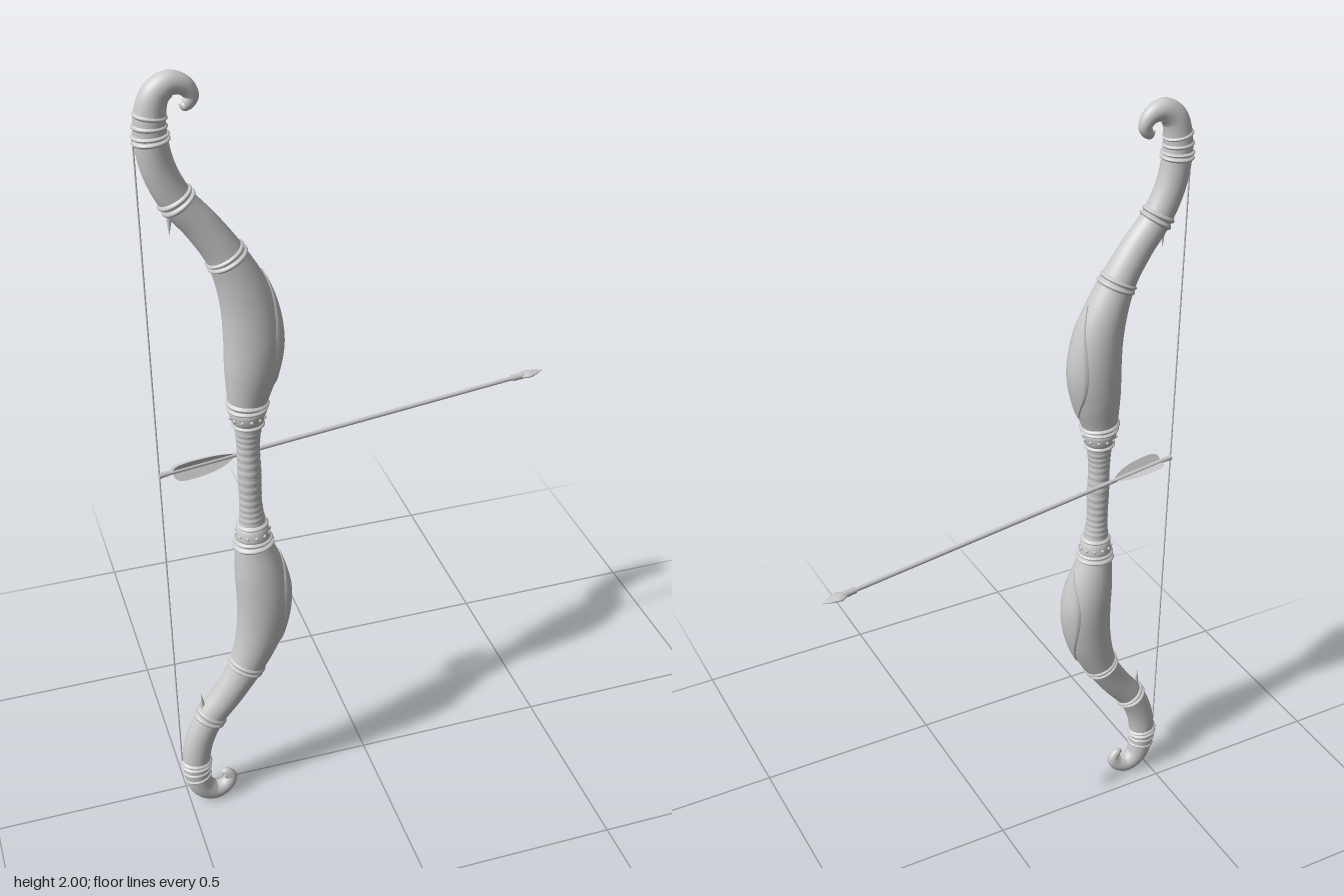
import * as THREE from 'three';

const grey = new THREE.MeshStandardMaterial({ color: 0xcccccc });
const thin = new THREE.MeshStandardMaterial({ color: 0xcccccc, side: THREE.DoubleSide });
const BOW_Z = 0.06;

// Upper limb from grip centre to hook tip: x, y, radius in the bow plane, radius in z
const stations = [
  [-0.303, 1.0, 0.028, 0.027], [-0.303, 1.08, 0.027, 0.026], [-0.301, 1.14, 0.033, 0.031],
  [-0.3, 1.2, 0.046, 0.041], [-0.288, 1.28, 0.062, 0.053], [-0.28, 1.36, 0.068, 0.056],
  [-0.292, 1.46, 0.061, 0.051], [-0.333, 1.57, 0.045, 0.042], [-0.383, 1.65, 0.04, 0.036],
  [-0.434, 1.717, 0.038, 0.034], [-0.467, 1.79, 0.037, 0.033], [-0.479, 1.86, 0.036, 0.033],
  [-0.477, 1.91, 0.034, 0.031], [-0.464, 1.95, 0.031, 0.028], [-0.434, 1.971, 0.027, 0.024],
  [-0.403, 1.962, 0.021, 0.019], [-0.389, 1.938, 0.016, 0.014], [-0.404, 1.92, 0.012, 0.01],
  [-0.416, 1.925, 0.001, 0.001],
];
const LAST = stations.length - 1;
const path = new THREE.CatmullRomCurve3(stations.map(([x, y]) => new THREE.Vector3(x, y, 0)));
const radii = new THREE.CatmullRomCurve3(
  stations.map(([, , a, b]) => new THREE.Vector3(a, b, 0)), false, 'catmullrom', 0.5);

// Point on the limb surface at station u and angle a (0 faces +x), raised by lift
function limbPoint(u, a, lift = 0) {
  const c = path.getPoint(u / LAST), t = path.getTangent(u / LAST), r = radii.getPoint(u / LAST);
  const k = Math.cos(a) * (r.x + lift);
  return new THREE.Vector3(c.x + t.y * k, c.y - t.x * k, BOW_Z + Math.sin(a) * (r.y + lift));
}

// Skin over the limb between stations u0 and u1; side = -1 mirrors it to the lower limb.
// lift(t, s) raises the skin; halfAngle(t), when given, makes an open panel facing +x.
function limbSkin(side, u0, u1, rows, cols, lift, halfAngle) {
  const pos = [], index = [];
  const width = halfAngle ? cols + 1 : cols;
  for (let i = 0; i <= rows; i++) {
    for (let j = 0; j < width; j++) {
      const t = i / rows, s = j / cols;
      const a = halfAngle ? (s * 2 - 1) * halfAngle(t) : s * Math.PI * 2;
      const p = limbPoint(u0 + (u1 - u0) * t, a, lift(t, s));
      pos.push(p.x, side < 0 ? 2 - p.y : p.y, p.z);
    }
  }
  for (let i = 0; i < rows; i++) {
    for (let j = 0; j < cols; j++) {
      const a = i * width + j, b = i * width + ((j + 1) % width), c = a + width, d = b + width;
      if (side > 0) index.push(a, c, b, b, c, d);
      else index.push(a, b, c, b, d, c);
    }
  }
  const g = new THREE.BufferGeometry();
  g.setAttribute('position', new THREE.Float32BufferAttribute(pos, 3));
  g.setIndex(index);
  g.computeVertexNormals();
  return g;
}

function add(parent, name, geometry, material = grey) {
  const m = new THREE.Mesh(geometry, material);
  m.name = name;
  parent.add(m);
  return m;
}

function buildLimb(side) {
  const limb = new THREE.Group();
  limb.name = side > 0 ? 'upperLimb' : 'lowerLimb';
  const place = (m, p) => m.position.set(p.x, side < 0 ? 2 - p.y : p.y, p.z);

  add(limb, 'limbBody', limbSkin(side, 0, LAST, 144, 32, () => 0));

  // Rounded rings: station, width, height
  const ring = (name, u, w, h) => add(limb, name,
    limbSkin(side, u - w / 2, u + w / 2, 8, 32, t => h * Math.sin(Math.PI * t) - 0.0005));
  for (const u of [2.0, 2.72, 2.95]) ring('cuffRing', u, 0.2, 0.007);
  for (const u of [6.95, 7.08]) ring('limbRing', u, 0.11, 0.005);
  for (const u of [8.9, 9.08]) ring('limbRing', u, 0.16, 0.006);
  for (const u of [10.92, 11.12]) ring('tipRing', u, 0.17, 0.006);
  for (const u of [11.5, 11.95]) ring('tipRing', u, 0.2, 0.004);

  // Leather wrap on the grip
  for (let u = 0.15; u < 1.9; u += 0.25) ring('gripWrap', u, 0.24, 0.0015);

  // Studded cuff between grip and limb
  add(limb, 'cuff', limbSkin(side, 2.05, 2.7, 6, 32, t => 0.004 * Math.sin(Math.PI * t) ** 0.3));
  for (let i = 0; i < 12; i++) {
    const stud = add(limb, 'cuffStud', new THREE.SphereGeometry(0.0045, 8, 6));
    place(stud, limbPoint(2.38, (i / 12) * Math.PI * 2, 0.004));
  }

  // Leaf-shaped inlay on the outer face
  add(limb, 'leafInlay', limbSkin(side, 3.5, 6.46, 32, 16,
    (t, s) => (s === 0 || s === 1 ? -0.003 : 0.003),
    t => 0.98 * Math.sin(Math.PI * t) ** 0.9 + 0.001), thin);

  // Thorn on the string side, pointing to the grip
  const thorn = add(limb, 'thorn', new THREE.ConeGeometry(0.011, 0.075, 10));
  place(thorn, new THREE.Vector3(-0.452, 1.673, BOW_Z));
  thorn.rotation.z = side > 0 ? Math.PI - 0.05 : 0.05;
  return limb;
}

function buildArrow() {
  const arrow = new THREE.Group();
  arrow.name = 'arrow';
  const rod = (name, x0, x1, r0, r1) => add(arrow, name,
    new THREE.CylinderGeometry(r1, r0, x1 - x0, 12).rotateZ(-Math.PI / 2).translate((x0 + x1) / 2, 0, 0));
  rod('shaft', 0, 0.99, 0.0055, 0.0055);
  rod('nock', -0.004, 0.022, 0.0075, 0.006);
  rod('headSocket', 0.955, 0.99, 0.008, 0.009);

  // Flattened leaf point
  const profile = [[0.001, 0.975], [0.01, 0.982], [0.017, 0.996], [0.016, 1.008], [0.009, 1.027], [0.0005, 1.047]];
  add(arrow, 'arrowhead', new THREE.LatheGeometry(profile.map(p => new THREE.Vector2(...p)), 16)
    .rotateZ(-Math.PI / 2).scale(1, 0.4, 1));

  // Three feathers
  const vane = new THREE.Shape();
  vane.moveTo(0.03, 0.004);
  vane.bezierCurveTo(0.03, 0.025, 0.045, 0.028, 0.075, 0.028);
  vane.bezierCurveTo(0.12, 0.028, 0.16, 0.022, 0.185, 0.004);
  vane.closePath();
  for (let i = 0; i < 3; i++) {
    const feather = add(arrow, 'feather', new THREE.ShapeGeometry(vane, 10), thin);
    feather.rotation.x = -Math.PI / 2 + (i * Math.PI * 2) / 3;
  }
  arrow.position.set(-0.513, 1.04, BOW_Z);
  arrow.rotation.y = 0.166;
  return arrow;
}

export function createModel() {
  const model = new THREE.Group();
  model.name = 'bowAndArrow';
  model.add(buildLimb(1), buildLimb(-1), buildArrow());

  // Taut string between the tip rings
  const string = add(model, 'bowString', new THREE.CylinderGeometry(0.002, 0.002, 1.73, 8));
  string.position.set(-0.516, 1, BOW_Z);
  return model;
}
